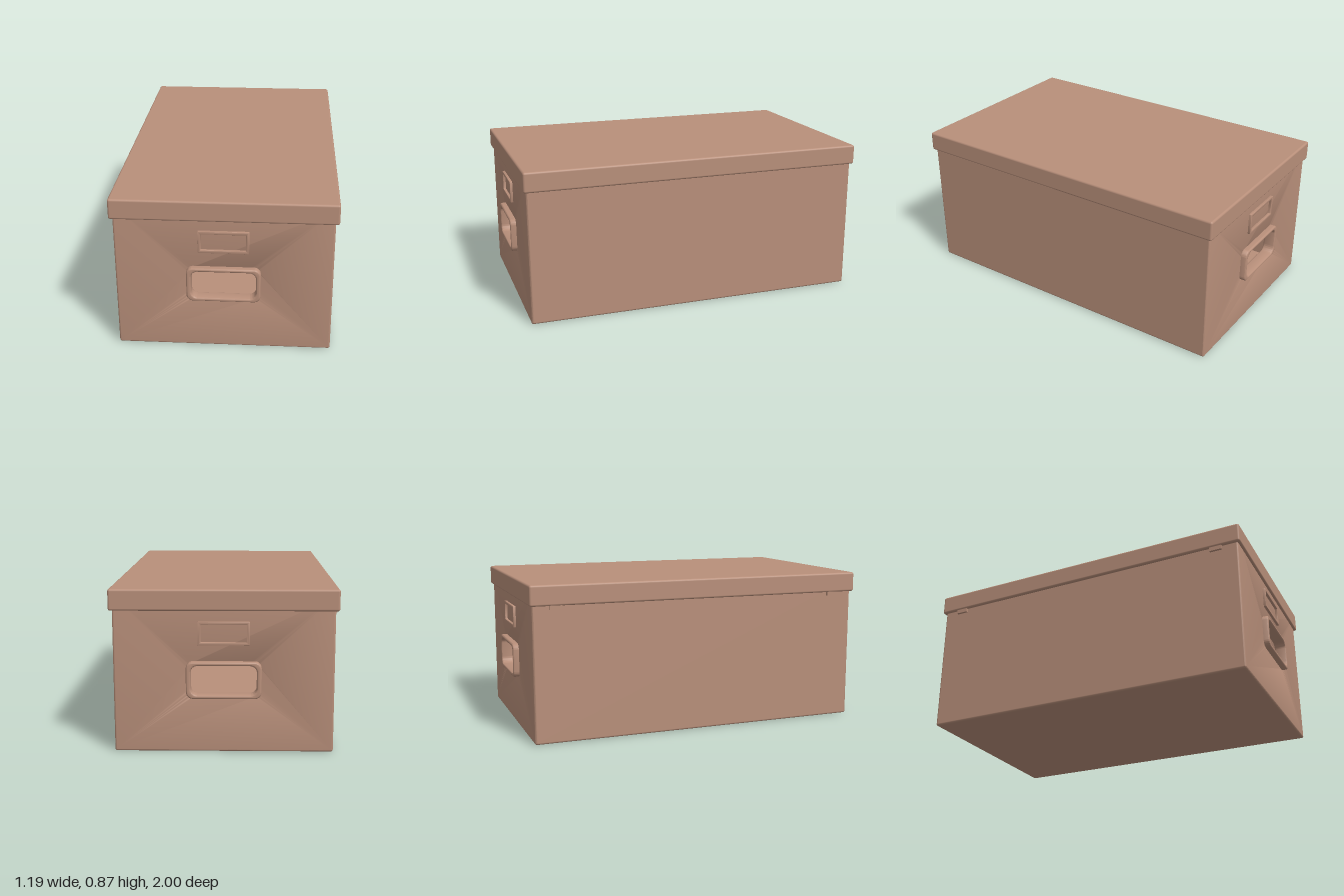
import * as THREE from 'three';
import { toCreasedNormals } from 'three/addons/utils/BufferGeometryUtils.js';
import { RoundedBoxGeometry } from 'three/addons/geometries/RoundedBoxGeometry.js';

const cardboard = new THREE.MeshStandardMaterial({ color: 0xb88f7a });
cardboard.name = 'cardboard brown';

// Rounded rectangle, as a Shape or a hole Path
function roundRect(Type, w, h, r, cy) {
  const x = w / 2, y0 = cy - h / 2, y1 = cy + h / 2;
  const p = new Type();
  p.moveTo(-x + r, y0);
  p.lineTo(x - r, y0);
  p.absarc(x - r, y0 + r, r, -Math.PI / 2, 0);
  p.lineTo(x, y1 - r);
  p.absarc(x - r, y1 - r, r, 0, Math.PI / 2);
  p.lineTo(-x + r, y1);
  p.absarc(-x + r, y1 - r, r, Math.PI / 2, Math.PI);
  p.lineTo(-x, y0 + r);
  p.absarc(-x + r, y0 + r, r, Math.PI, Math.PI * 1.5);
  return p;
}

// Panel with a rounded window, its bevelled faces lying at z0 and z1
function framePanel(outer, inner, z0, z1, bevel) {
  const shape = roundRect(THREE.Shape, ...outer);
  shape.holes.push(roundRect(THREE.Path, ...inner));
  const g = new THREE.ExtrudeGeometry(shape, {
    depth: z1 - z0 - 2 * bevel, bevelThickness: bevel, bevelSize: bevel,
    bevelOffset: -bevel, bevelSegments: 4, curveSegments: 8,
  });
  g.translate(0, 0, z0 + bevel);
  return toCreasedNormals(g, 0.6);
}

function add(parent, name, geometry, x = 0, y = 0, z = 0) {
  const mesh = new THREE.Mesh(geometry, cardboard);
  mesh.name = name;
  mesh.position.set(x, y, z);
  parent.add(mesh);
  return mesh;
}

function roundedBox(parent, name, w, h, d, r, x, y, z) {
  return add(parent, name, new RoundedBoxGeometry(w, h, d, 4, r), x, y, z);
}

export function createModel() {
  const model = new THREE.Group();
  model.name = 'storageBox';

  const W = 1.154, D = 1.934, H = 0.84, T = 0.024, R = 0.0118;
  const lidW = 1.192, lidD = 1.964, lidTop = 0.868, lidBottom = 0.755;
  const handleY = 0.3925, labelY = 0.6375;

  // Hollow body: floor and long walls
  const body = new THREE.Group();
  body.name = 'body';
  model.add(body);
  roundedBox(body, 'floor', W, T, D, R, 0, T / 2, 0);
  for (const s of [-1, 1]) {
    roundedBox(body, 'sideWall', T, H, D, R, s * (W - T) / 2, H / 2, 0);
  }

  // Each end: pierced wall, hand hole rim and label holder
  for (const turn of [0, Math.PI]) {
    const end = new THREE.Group();
    end.name = turn ? 'backEnd' : 'frontEnd';
    end.rotation.y = turn;
    body.add(end);
    add(end, 'endWall', framePanel([W, H, R, H / 2], [0.366, 0.17, 0.04, handleY],
      D / 2 - T, D / 2, R - 0.001));
    add(end, 'handleRim', framePanel([0.394, 0.196, 0.036, handleY], [0.344, 0.155, 0.036, handleY],
      0.932, 1, 0.009));
    add(end, 'labelHolder', framePanel([0.27, 0.124, 0.004, labelY], [0.238, 0.093, 0.003, labelY],
      0.96, 0.982, 0.002));
  }

  // Lid: top plate with a skirt all round
  const lid = new THREE.Group();
  lid.name = 'lid';
  model.add(lid);
  const skirtH = lidTop - lidBottom, skirtY = (lidTop + lidBottom) / 2;
  roundedBox(lid, 'lidTop', lidW, 0.028, lidD, 0.0118, 0, lidTop - 0.014, 0);
  for (const s of [-1, 1]) {
    roundedBox(lid, 'lidSide', T, skirtH, lidD, R, s * (lidW - T) / 2, skirtY, 0);
    roundedBox(lid, 'lidEnd', lidW, skirtH, T, R, 0, skirtY, s * (lidD - T) / 2);
    // Small tabs under the lid, on one long side only
    add(lid, 'hingeTab', new THREE.BoxGeometry(0.022, 0.045, 0.07), -0.58, 0.756, s * 0.84);
  }

  return model;
}
